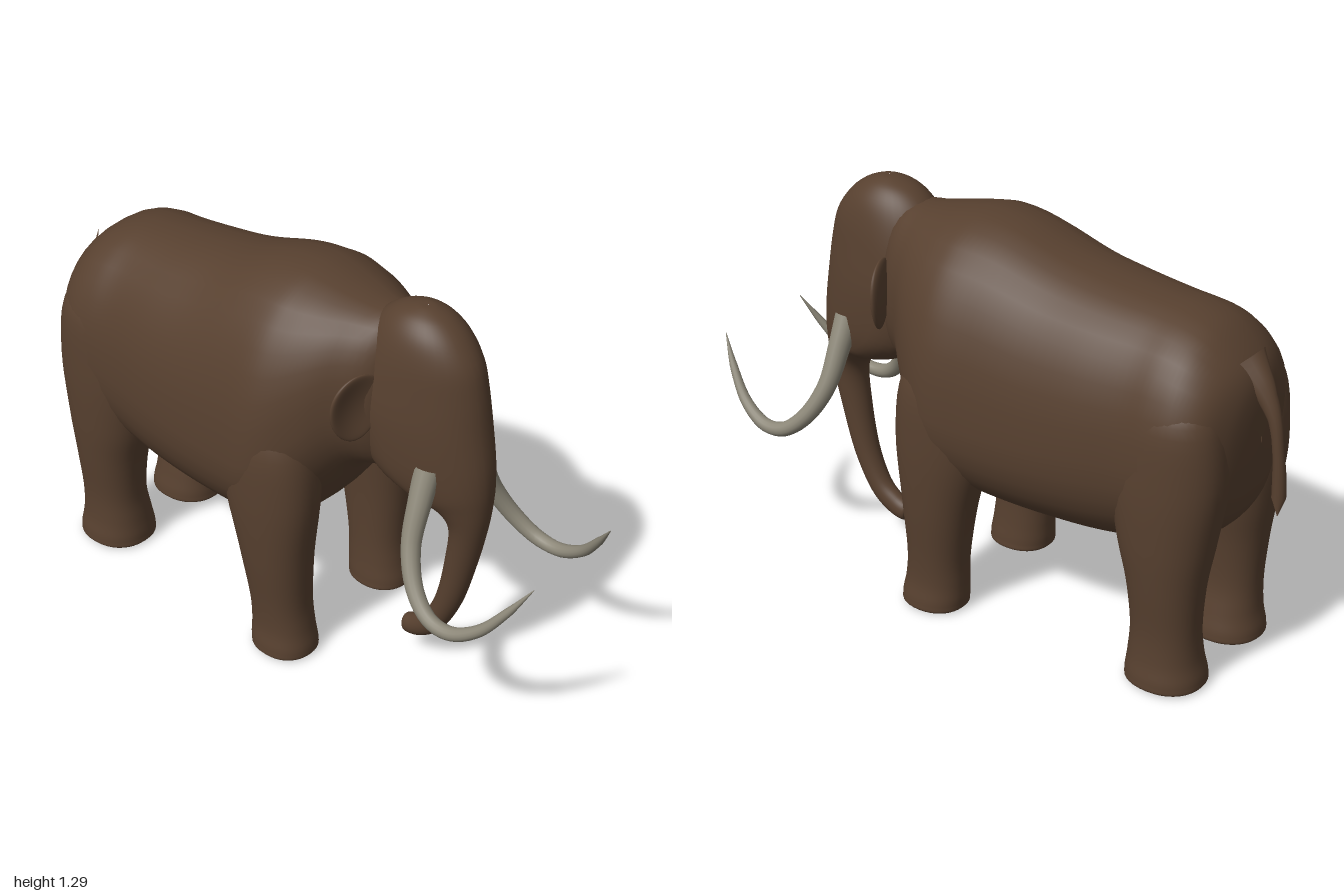
import * as THREE from 'three';

const HIDE = new THREE.MeshStandardMaterial({ color: 0x57402f });
const IVORY = new THREE.MeshStandardMaterial({ color: 0x8c8778 });

// Catmull-Rom blend of one number
function blend(a, b, c, d, t) {
  return 0.5 * (2 * b + (c - a) * t + (2 * a - 5 * b + 4 * c - d) * t * t + (3 * b - a - 3 * c + d) * t * t * t);
}

// Smooth skin over oval sections. Each station: [y1, z1, y2, z2, halfWidth, widestAt, centreX],
// where (y1,z1) and (y2,z2) are the two ends of the section in the side plane.
function skin(name, stations, power = 2, steps = 5, sides = 36) {
  const rows = [];
  const last = stations.length - 1;
  const at = i => stations[Math.min(Math.max(i, 0), last)];
  for (let i = 0; i < last; i++)
    for (let s = 0; s < steps; s++)
      rows.push(at(i).map((v, k) => blend(at(i - 1)[k], v, at(i + 1)[k], at(i + 2)[k], s / steps)));
  rows.push(at(last));

  const pos = [], idx = [];
  const bulge = v => Math.sign(v) * Math.abs(v) ** (2 / power);
  rows.forEach(([y1, z1, y2, z2, w, m = 0.5, cx = 0], r) => {
    for (let j = 0; j < sides; j++) {
      const angle = (j / sides) * Math.PI * 2;
      const c = bulge(Math.cos(angle));
      const f = c > 0 ? m * (1 - c) : m - (1 - m) * c;
      pos.push(cx + w * bulge(Math.sin(angle)), Math.max(0, y1 + (y2 - y1) * f), z1 + (z2 - z1) * f);
      if (r < rows.length - 1) {
        const a = r * sides + j, b = r * sides + (j + 1) % sides;
        idx.push(a, b, a + sides, b, b + sides, a + sides);
      }
    }
  });
  const g = new THREE.BufferGeometry();
  g.setAttribute('position', new THREE.Float32BufferAttribute(pos, 3));
  g.setIndex(idx);
  g.computeVertexNormals();
  const mesh = new THREE.Mesh(g, HIDE);
  mesh.name = name;
  return mesh;
}

// Tube along a curve whose radius follows a list of values
function taperedTube(name, points, radii, material) {
  const curve = new THREE.CatmullRomCurve3(points.map(p => new THREE.Vector3(...p)));
  const segs = 48, sides = 14;
  const g = new THREE.TubeGeometry(curve, segs, 1, sides);
  const p = g.attributes.position, v = new THREE.Vector3();
  for (let i = 0; i <= segs; i++) {
    const c = curve.getPointAt(i / segs);
    const f = (i / segs) * (radii.length - 1), k = Math.min(Math.floor(f), radii.length - 2);
    const r = THREE.MathUtils.lerp(radii[k], radii[k + 1], f - k);
    for (let j = 0; j <= sides; j++) {
      const n = i * (sides + 1) + j;
      v.fromBufferAttribute(p, n).sub(c).multiplyScalar(r).add(c);
      p.setXYZ(n, v.x, v.y, v.z);
    }
  }
  const mesh = new THREE.Mesh(g, material);
  mesh.name = name;
  return mesh;
}

// Small dished ear, swept outward and back
function ear(side) {
  const g = new THREE.SphereGeometry(1, 32, 24);
  const p = g.attributes.position;
  for (let i = 0; i < p.count; i++) {
    const x = p.getX(i), y = p.getY(i), z = p.getZ(i);
    const dish = z > 0 ? 0.03 * (1 - x * x - y * y) : 0;
    const wide = 0.08 * (1 + 0.18 * y);
    p.setXYZ(i, side * (0.185 + wide * x), 0.98 + 0.11 * y - 0.012 * x, 0.335 - 0.03 * x + 0.024 * z - dish);
  }
  // mirrored ear needs its corners turned round
  if (side < 0) g.index.array.reverse();
  g.computeVertexNormals();
  const mesh = new THREE.Mesh(g, HIDE);
  mesh.name = side > 0 ? 'leftEar' : 'rightEar';
  return mesh;
}

// Leg from sole to hip. Rows: [y, zFront, zBack, xInner, xOuter]
function leg(name, side, rows) {
  return skin(name, rows.map(([y, zf, zb, xi, xo]) => [y, zf, y, zb, (xo - xi) / 2, 0.5, side * (xi + xo) / 2]), 2.2);
}

export function createModel() {
  const model = new THREE.Group();
  model.name = 'mammoth';

  // Barrel, shoulder hump and rump, from neck to tail
  model.add(skin('body', [
    [1.1, 0.42, 0.85, 0.42, 0.02, 0.55],
    [1.22, 0.36, 0.72, 0.36, 0.14, 0.55],
    [1.24, 0.26, 0.69, 0.27, 0.215, 0.56],
    [1.255, 0.18, 0.58, 0.19, 0.285, 0.6],
    [1.272, 0.1, 0.46, 0.1, 0.34, 0.64],
    [1.28, 0.02, 0.41, 0.02, 0.36, 0.65],
    [1.265, -0.1, 0.385, -0.1, 0.35, 0.64],
    [1.21, -0.28, 0.375, -0.28, 0.335, 0.61],
    [1.18, -0.45, 0.38, -0.45, 0.32, 0.58],
    [1.163, -0.6, 0.4, -0.6, 0.3, 0.57],
    [1.15, -0.7, 0.43, -0.7, 0.302, 0.56],
    [1.12, -0.78, 0.46, -0.78, 0.293, 0.55],
    [1.06, -0.85, 0.5, -0.84, 0.25, 0.5],
    [1.0, -0.892, 0.56, -0.875, 0.17, 0.5],
    [0.92, -0.908, 0.65, -0.895, 0.09, 0.5],
    [0.8, -0.91, 0.78, -0.91, 0.004, 0.5],
  ], 2.25));

  // Trunk rising from its tip into face and domed crown
  model.add(skin('headAndTrunk', [
    [0.105, 0.4, 0.106, 0.4, 0.003, 0.5],
    [0.075, 0.405, 0.135, 0.392, 0.026, 0.5],
    [0.09, 0.465, 0.158, 0.43, 0.032, 0.5],
    [0.15, 0.535, 0.205, 0.48, 0.037, 0.5],
    [0.28, 0.602, 0.31, 0.523, 0.042, 0.5],
    [0.45, 0.65, 0.46, 0.55, 0.049, 0.5],
    [0.6, 0.68, 0.59, 0.56, 0.062, 0.5],
    [0.69, 0.69, 0.65, 0.51, 0.085, 0.55],
    [0.76, 0.692, 0.68, 0.4, 0.117, 0.6],
    [0.84, 0.687, 0.76, 0.27, 0.142, 0.62],
    [0.95, 0.67, 0.92, 0.22, 0.15, 0.62],
    [1.06, 0.652, 1.05, 0.22, 0.14, 0.6],
    [1.15, 0.628, 1.15, 0.24, 0.125, 0.55],
    [1.22, 0.58, 1.22, 0.28, 0.103, 0.5],
    [1.265, 0.525, 1.265, 0.335, 0.07, 0.5],
    [1.287, 0.47, 1.287, 0.4, 0.03, 0.5],
    [1.29, 0.44, 1.29, 0.438, 0.002, 0.5],
  ]));

  for (const side of [1, -1]) {
    const label = side > 0 ? 'left' : 'right';
    model.add(ear(side));

    // Pillar legs with flared feet
    model.add(leg(label + 'FrontLeg', side, [
      [0, 0.096, 0.094, 0.234, 0.236],
      [0.003, 0.19, 0, 0.148, 0.322],
      [0.03, 0.202, -0.014, 0.14, 0.331],
      [0.1, 0.19, -0.016, 0.145, 0.322],
      [0.2, 0.182, -0.022, 0.147, 0.326],
      [0.38, 0.192, -0.055, 0.14, 0.345],
      [0.6, 0.212, -0.11, 0.12, 0.357],
      [0.8, 0.19, -0.1, 0.1, 0.345],
      [0.95, 0.1, -0.02, 0.1, 0.27],
    ]));
    model.add(leg(label + 'HindLeg', side, [
      [0, -0.724, -0.726, 0.169, 0.171],
      [0.003, -0.615, -0.84, 0.068, 0.275],
      [0.03, -0.603, -0.853, 0.056, 0.287],
      [0.1, -0.61, -0.84, 0.07, 0.277],
      [0.2, -0.617, -0.835, 0.085, 0.275],
      [0.35, -0.6, -0.845, 0.075, 0.29],
      [0.5, -0.56, -0.868, 0.05, 0.302],
      [0.7, -0.53, -0.893, 0.03, 0.305],
      [0.9, -0.58, -0.87, 0.05, 0.285],
      [1.0, -0.66, -0.8, 0.08, 0.2],
    ]));

    // Tusk sweeping down, out, then up and in
    model.add(taperedTube(label + 'Tusk', [
      [0.1, 0.82, 0.54], [0.14, 0.73, 0.545], [0.195, 0.6, 0.56], [0.24, 0.495, 0.615], [0.263, 0.436, 0.69],
      [0.265, 0.43, 0.77], [0.25, 0.48, 0.86], [0.22, 0.57, 0.935], [0.184, 0.664, 0.997],
    ].map(([x, y, z]) => [side * x, y, z]), [0.042, 0.036, 0.031, 0.028, 0.025, 0.022, 0.018, 0.013, 0.001], IVORY));
  }

  // Hanging tail with a thick root and pointed tuft
  model.add(taperedTube('tail', [
    [0, 1.02, -0.84], [0, 0.95, -0.905], [0, 0.87, -0.948], [0, 0.76, -0.968], [0, 0.64, -0.977], [0, 0.56, -0.976],
  ], [0.07, 0.048, 0.03, 0.021, 0.018, 0.018, 0.021, 0.022, 0.001], HIDE));

  return model;
}
